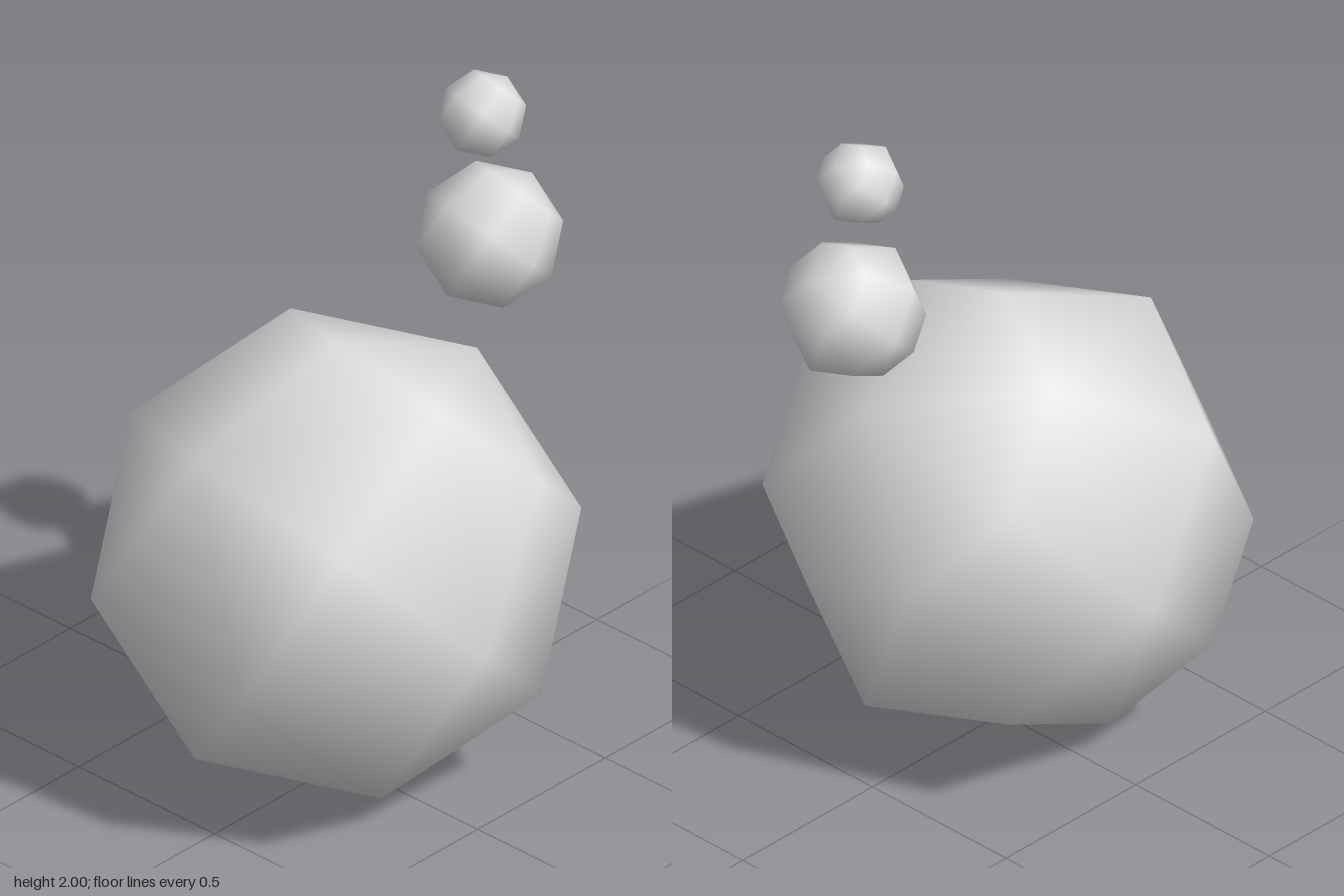
import * as THREE from 'three';

// Unit faceted ball: each octant is a fan of six triangles around an off-centre hub
function ballGeometry() {
  const positions = [];
  const mid = (a, b) => a.clone().add(b).normalize();
  const onEquator = (angle) => new THREE.Vector3(Math.cos(angle), Math.sin(angle), 0);
  for (const side of [1, -1]) {
    const pole = new THREE.Vector3(0, 0, side);
    for (let k = 0; k < 4; k++) {
      const p = onEquator((k - 0.5) * Math.PI / 2);
      const q = onEquator((k + 0.5) * Math.PI / 2);
      // Neighbouring octants lean their hubs towards a shared corner
      const hub = k % 2 ? mid(p, mid(q, pole)) : mid(q, mid(p, pole));
      const rim = [p, mid(p, q), q, mid(q, pole), pole, mid(pole, p)];
      if (side < 0) rim.reverse();
      rim.forEach((a, i) => {
        for (const v of [hub, a, rim[(i + 1) % 6]]) positions.push(v.x, v.y, v.z);
      });
    }
  }
  const geometry = new THREE.BufferGeometry();
  geometry.setAttribute('position', new THREE.Float32BufferAttribute(positions, 3));
  // Smooth shading: on a unit ball the normals equal the positions
  geometry.setAttribute('normal', new THREE.Float32BufferAttribute(positions, 3));
  return geometry;
}

export function createModel() {
  const group = new THREE.Group();
  group.name = 'bubbles';
  const grey = new THREE.MeshStandardMaterial({ color: 0xdddddd });
  grey.name = 'light grey';
  const geometry = ballGeometry();

  // name, radius, centre
  const balls = [
    ['largeBall', 0.67, [-0.023, 0.67, 0]],
    ['mediumBall', 0.201, [0.484, 1.487, 0.09]],
    ['smallBall', 0.12, [0.457, 1.88, 0.088]],
  ];
  for (const [name, radius, centre] of balls) {
    const ball = new THREE.Mesh(geometry, grey);
    ball.name = name;
    ball.scale.setScalar(radius);
    ball.position.set(...centre);
    ball.rotation.y = THREE.MathUtils.degToRad(-10);
    group.add(ball);
  }
  return group;
}
